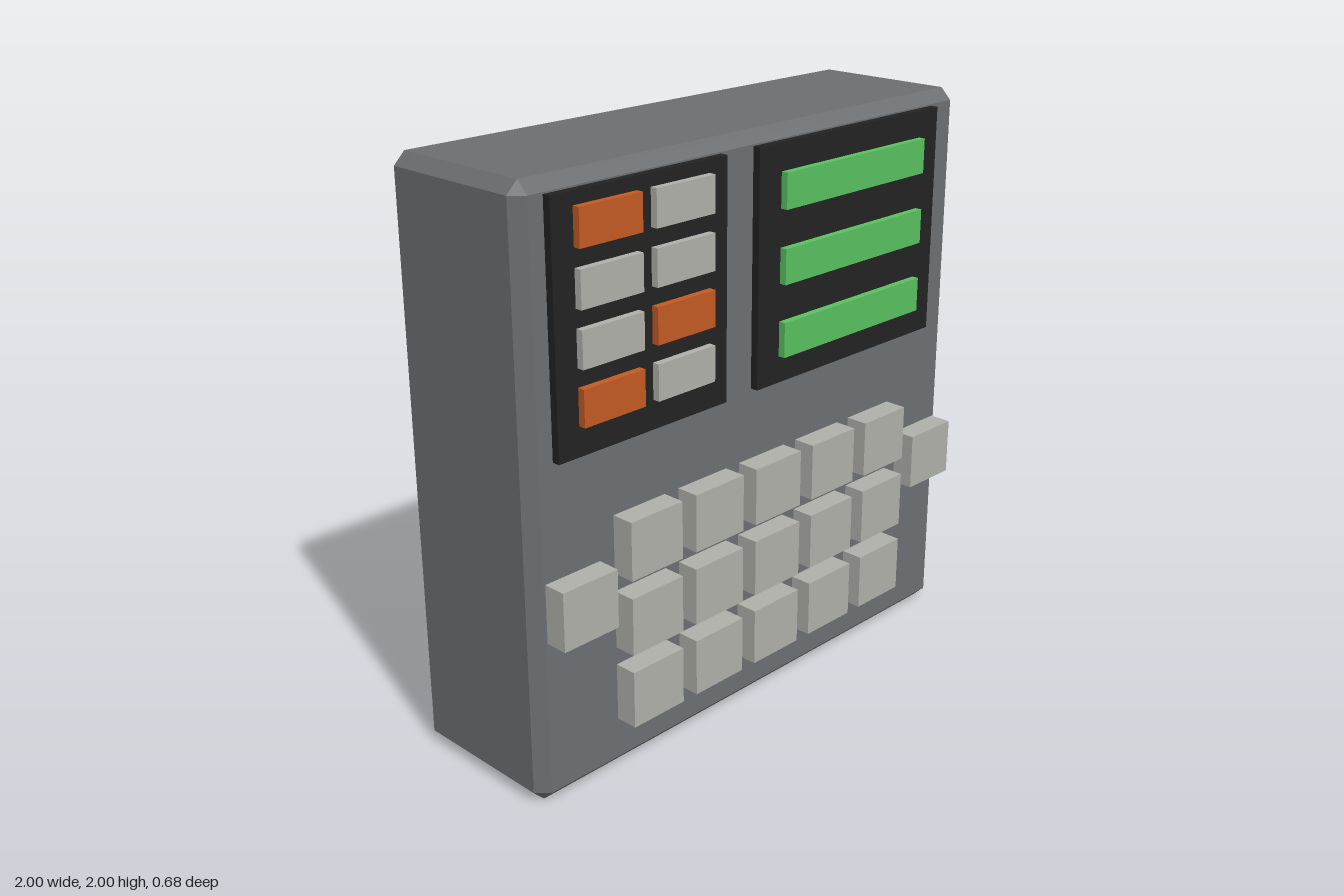
import * as THREE from 'three';
import { ConvexGeometry } from 'three/addons/geometries/ConvexGeometry.js';

function makeMaterial(name, color) {
  const material = new THREE.MeshStandardMaterial({ color });
  material.name = name;
  return material;
}

// Box with every edge and corner cut flat by c
function chamferedBox(w, h, d, c) {
  const points = [];
  for (const sx of [-1, 1]) for (const sy of [-1, 1]) for (const sz of [-1, 1]) {
    const x = sx * w / 2, y = sy * h / 2, z = sz * d / 2;
    points.push(
      new THREE.Vector3(x, y - sy * c, z - sz * c),
      new THREE.Vector3(x - sx * c, y, z - sz * c),
      new THREE.Vector3(x - sx * c, y - sy * c, z));
  }
  return new ConvexGeometry(points);
}

export function createModel() {
  const model = new THREE.Group();
  model.name = 'controlBox';

  const bodyGrey = makeMaterial('bodyGrey', 0x6b6f72);
  const panelBlack = makeMaterial('panelBlack', 0x222222);
  const keyGrey = makeMaterial('keyGrey', 0xb0b0aa);
  const lampOrange = makeMaterial('lampOrange', 0xc25a24);
  const displayGreen = makeMaterial('displayGreen', 0x58c060);

  const back = -0.3375, front = 0.2575, panelFront = 0.285;

  // Adds a block whose rear face sits at z
  function block(name, material, x, y, z, w, h, d) {
    const mesh = new THREE.Mesh(new THREE.BoxGeometry(w, h, d), material);
    mesh.name = name;
    mesh.position.set(x, y, z + d / 2);
    model.add(mesh);
  }

  // Housing
  const body = new THREE.Mesh(chamferedBox(2, 2, front - back, 0.04), bodyGrey);
  body.name = 'body';
  body.position.set(0, 1, (front + back) / 2);
  model.add(body);

  // Dark panels
  const panelDepth = panelFront - front;
  block('lampPanel', panelBlack, -0.5525, 1.555, front, 0.705, 0.8, panelDepth);
  block('displayPanel', panelBlack, 0.3975, 1.555, front, 0.905, 0.8, panelDepth);

  // Indicator lamps: two columns of four, some lit orange
  const lit = [[1, 0], [0, 0], [0, 1], [1, 0]];
  lit.forEach((row, r) => row.forEach((on, c) =>
    block('indicatorLamp', on ? lampOrange : keyGrey,
      -0.7 + c * 0.3, 1.853 - r * 0.18, panelFront, 0.245, 0.12, 0.025)));

  // Display strips
  for (let i = 0; i < 3; i++) {
    block('displayStrip', displayGreen, 0.4, 1.803 - i * 0.248, panelFront, 0.705, 0.12, 0.025);
  }

  // Keypad
  for (let r = 0; r < 3; r++) for (let c = -2; c <= 2; c++) {
    block('key', keyGrey, c * 0.281, 0.807 - r * 0.262, front, 0.22, 0.2, 0.08);
  }

  // Side keys
  for (const side of [-1, 1]) {
    block(side > 0 ? 'leftSideKey' : 'rightSideKey', keyGrey, side * 0.842, 0.672, front, 0.22, 0.2, 0.08);
  }

  return model;
}
